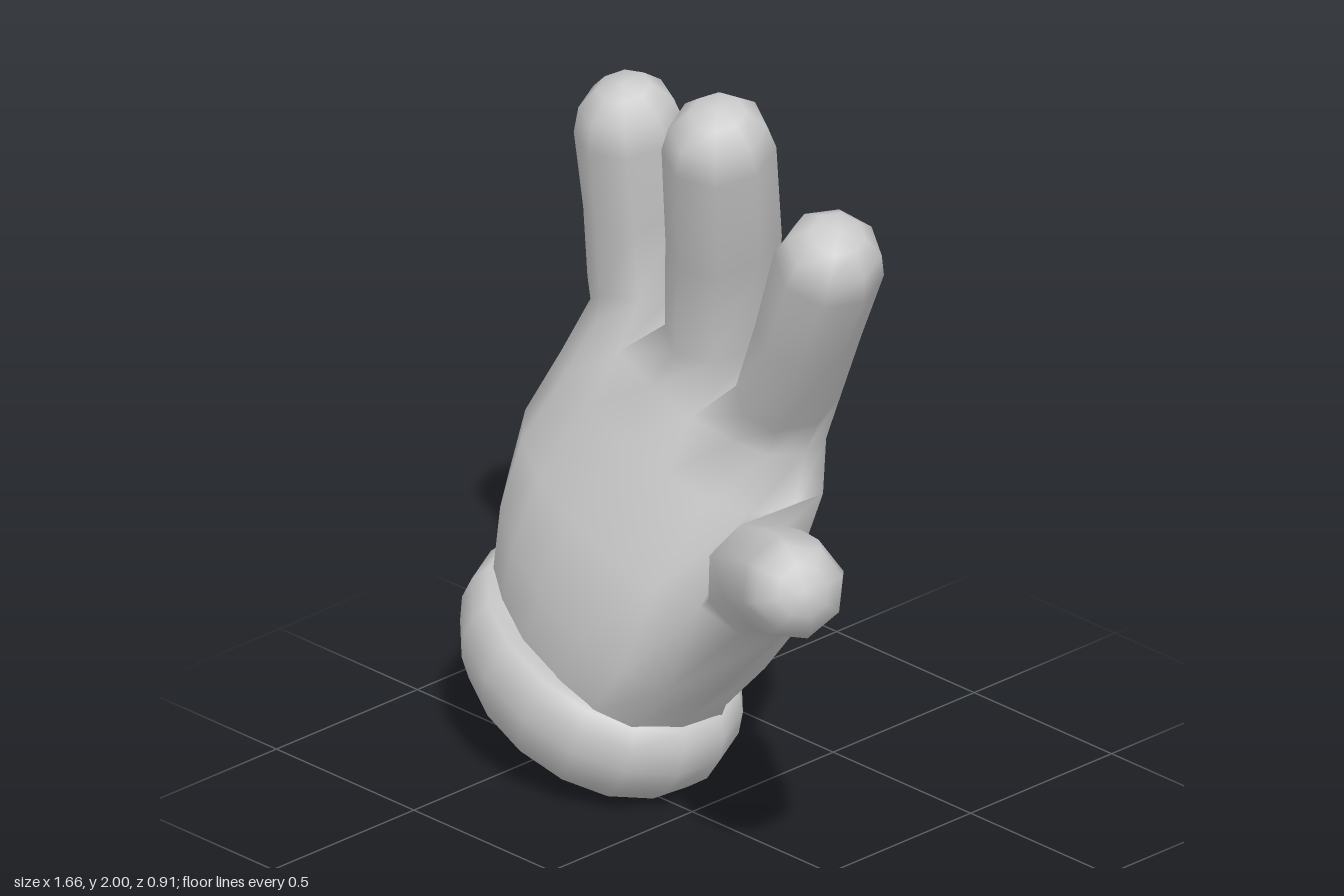
import * as THREE from 'three';

const SIDES = 16; // palm and cuff; every finger has half as many
const material = new THREE.MeshStandardMaterial({ color: 0xcccccc });
const vec = (p) => new THREE.Vector3(...p);

// Shared vertex list: each part keeps its own faces, so that the parts join without a seam
class Skin {
  positions = [];
  parts = {};

  add(p) {
    return this.positions.push(p.x, p.y, p.z) / 3 - 1;
  }

  // Oval ring of vertices from u towards v; flat < 1 fills out the front and back
  ring(c, u, v, sides, flat = 1) {
    return Array.from({ length: sides }, (_, j) => {
      const a = (j / sides) * Math.PI * 2, s = Math.sin(a);
      return this.add(c.clone().addScaledVector(u, Math.cos(a))
        .addScaledVector(v, Math.sign(s) * Math.pow(Math.abs(s), flat)));
    });
  }

  // Band of faces between two rings, leaving out the given columns
  band(part, lower, upper, skip = []) {
    const faces = (this.parts[part] ??= []);
    lower.forEach((a, j) => {
      const k = (j + 1) % lower.length;
      if (!skip.includes(j)) faces.push(a, upper[j], lower[k], lower[k], upper[j], upper[k]);
    });
  }

  // Close a ring with a pole
  cap(part, ring, pole, atEnd) {
    const faces = (this.parts[part] ??= []), p = this.add(pole);
    ring.forEach((a, j) => {
      const b = ring[(j + 1) % ring.length];
      faces.push(p, ...(atEnd ? [b, a] : [a, b]));
    });
  }

  // Smooth normals over the whole skin, then one mesh per part
  meshes() {
    const whole = new THREE.BufferGeometry();
    whole.setAttribute('position', new THREE.Float32BufferAttribute(this.positions, 3));
    whole.setIndex(Object.values(this.parts).flat());
    whole.computeVertexNormals();
    return Object.entries(this.parts).map(([name, faces]) => {
      const geometry = new THREE.BufferGeometry();
      geometry.setAttribute('position', whole.attributes.position);
      geometry.setAttribute('normal', whole.attributes.normal);
      geometry.setIndex(faces);
      const mesh = new THREE.Mesh(geometry, material);
      mesh.name = name;
      return mesh;
    });
  }
}

// Finger growing out of an open loop; each section is [x, y, z, half width, half depth]
function finger(skin, name, loop, sections) {
  const centres = sections.map((s) => vec(s.slice(0, 3)));
  let previous = loop, t;
  const addRing = (c, w, d) => {
    const u = t.clone().cross(new THREE.Vector3(0, 0, 1)).normalize();
    const v = u.clone().cross(t).normalize();
    const next = skin.ring(c, u.multiplyScalar(w), v.multiplyScalar(d), SIDES / 2);
    skin.band(name, previous, next);
    previous = next;
  };
  sections.forEach(([, , , w, d], i) => {
    const before = centres[Math.max(i - 1, 0)], after = centres[Math.min(i + 1, centres.length - 1)];
    t = after.clone().sub(before).normalize();
    addRing(centres[i], w, d);
  });
  // blunt rounded tip
  const end = centres.at(-1), [w, d] = sections.at(-1).slice(3);
  for (const [h, k] of [[0.075, 0.86], [0.128, 0.5]]) addRing(end.clone().addScaledVector(t, h), w * k, d * k);
  skin.cap(name, previous, end.clone().addScaledVector(t, 0.14), true);
}

function hand() {
  const skin = new Skin();
  // palm sections: outer edge, thumb edge, half depth
  const rows = [
    [[-0.66, 0.34, -0.16], [-0.07, 0.12, 0.02], 0.25],
    [[-0.71, 0.5, -0.17], [-0.01, 0.26, 0.02], 0.27],
    [[-0.72, 0.7, -0.2], [0.15, 0.42, 0.04], 0.28],
    [[-0.715, 0.87, -0.24], [0.22, 0.67, 0], 0.26],
    [[-0.67, 1.03, -0.29], [0.26, 0.91, -0.11], 0.215],
    [[-0.6, 1.19, -0.3], [0.245, 1.05, -0.16], 0.175],
  ].map(([outer, inner, depth]) => {
    const l = vec(outer), r = vec(inner);
    const u = r.clone().sub(l).multiplyScalar(0.5);
    const v = new THREE.Vector3(-u.z, 0, u.x).normalize().multiplyScalar(depth);
    return skin.ring(l.add(r).multiplyScalar(0.5), u, v, SIDES, 0.7);
  });
  // the thumb leaves an opening two columns wide and two rows high
  for (let i = 0; i < rows.length - 1; i++) {
    skin.band('palm', rows[i], rows[i + 1], i === 2 || i === 3 ? [0, SIDES - 1] : []);
  }
  skin.cap('palm', rows[0], vec([-0.36, 0.24, -0.07]), false);

  // middle of the web between two neighbouring fingers
  const top = rows.at(-1);
  const web = (front, back) => {
    const at = (i) => new THREE.Vector3().fromArray(skin.positions, top[i] * 3);
    return skin.add(at(front).add(at(back)).multiplyScalar(0.5));
  };
  const webA = web(3, 13), webB = web(5, 11);
  const pick = (...columns) => columns.map((i) => top[i]);

  finger(skin, 'indexFinger', [...pick(0, 1, 2, 3), webA, ...pick(13, 14, 15)], [
    [0.195, 1.21, -0.15, 0.118, 0.15], [0.315, 1.44, -0.105, 0.122, 0.15], [0.435, 1.68, -0.06, 0.142, 0.145]]);
  finger(skin, 'middleFinger', [webA, ...pick(3, 4, 5), webB, ...pick(11, 12, 13)], [
    [-0.125, 1.27, -0.23, 0.128, 0.165], [-0.045, 1.56, -0.155, 0.135, 0.16], [0.02, 1.86, -0.075, 0.142, 0.15]]);
  finger(skin, 'littleFinger', [webB, ...pick(5, 6, 7, 8, 9, 10, 11)], [
    [-0.465, 1.28, -0.285, 0.132, 0.16], [-0.455, 1.49, -0.255, 0.13, 0.155], [-0.44, 1.72, -0.205, 0.138, 0.145]]);

  const [low, mid, high] = rows.slice(2, 5), side = SIDES - 1;
  finger(skin, 'thumb', [low[0], low[1], mid[1], high[1], high[0], high[side], mid[side], low[side]], [
    [0.385, 0.835, 0.125, 0.152, 0.15], [0.55, 0.93, 0.235, 0.14, 0.142], [0.705, 0.995, 0.33, 0.137, 0.137]]);
  return skin.meshes();
}

// Soft rolled cuff: a tilted, slightly turned oval with a rounded underside
function cuff() {
  const skin = new Skin();
  const centre = vec([-0.41, 0.25, -0.07]);
  const up = vec([0.34, 0.94, -0.05]).normalize();
  const across = vec([0.94, -0.34, 0]).applyAxisAngle(up, -0.26);
  const front = across.clone().cross(up);
  const at = (h) => centre.clone().addScaledVector(up, h);
  const rings = [[0.4, -0.125], [0.7, -0.148], [0.86, -0.12], [0.96, -0.06], [1, 0.01],
    [0.98, 0.075], [0.91, 0.125], [0.81, 0.14], [0.7, 0.1]].map(([k, h]) => skin.ring(
    at(h), across.clone().multiplyScalar(0.435 * k), front.clone().multiplyScalar(0.345 * k), SIDES, 0.93));
  rings.slice(1).forEach((ring, i) => skin.band('cuff', rings[i], ring));
  skin.cap('cuff', rings[0], at(-0.115), false);
  skin.cap('cuff', rings.at(-1), at(0.1), true);
  return skin.meshes();
}

export function createModel() {
  const glove = new THREE.Group();
  glove.name = 'glove';
  glove.add(...hand(), ...cuff());
  return glove;
}
